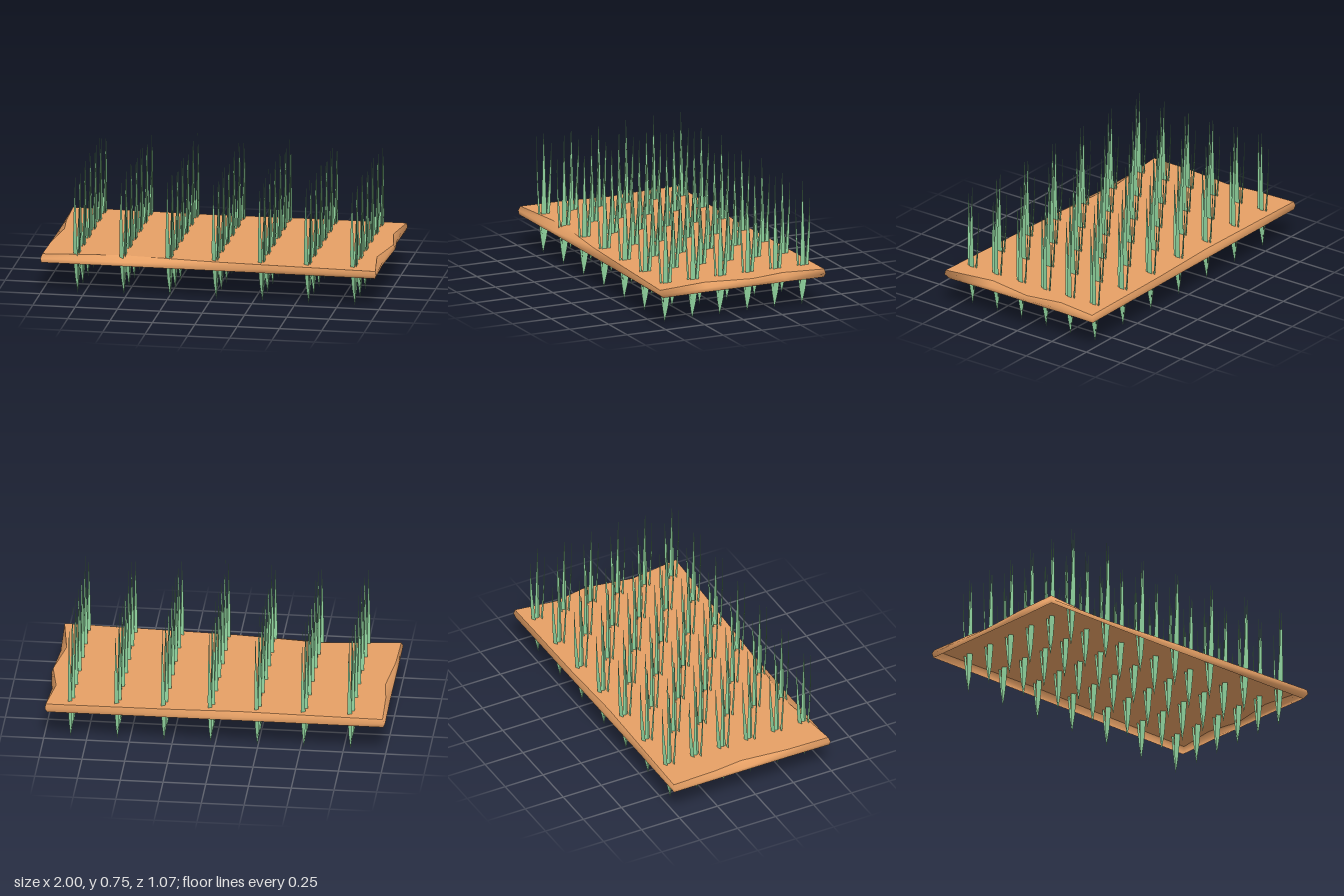
import * as THREE from 'three';

// Join equal-length rings, counterclockwise from above, from bottom to top.
// The lid has its own corners, so it stays flat beside smooth sides; the bottom is open.
function loft(rings) {
  const n = rings[0].length, pos = rings.flat(2), idx = [];
  for (let k = 0; k < rings.length - 1; k++)
    for (let i = 0; i < n; i++) {
      const a = k * n + i, b = k * n + (i + 1) % n;
      idx.push(a, b, b + n, a, b + n, a + n);
    }
  const lid = rings[rings.length - 1], start = pos.length / 3;
  pos.push(...lid.flat(), ...[0, 1, 2].map(j => lid.reduce((s, p) => s + p[j], 0) / n));
  for (let i = 0; i < n; i++) idx.push(start + i, start + (i + 1) % n, start + n);
  const g = new THREE.BufferGeometry();
  g.setAttribute('position', new THREE.Float32BufferAttribute(pos, 3));
  g.setIndex(idx);
  g.computeVertexNormals();
  return g;
}

// Soil: a shallow shell, open below, with a bulging rim and a chipped top outline.
// Outlines start at the front-left corner.
function soilGeometry() {
  const top = [[-0.99, 0.485], [-0.52, 0.435], [-0.02, 0.485], [0.3, 0.5], [0.985, 0.53],
    [0.94, 0.22], [0.99, -0.06], [0.95, -0.28], [0.985, -0.53],
    [0.3, -0.525], [-0.15, -0.512], [-0.6, -0.522], [-0.985, -0.53],
    [-0.975, -0.25], [-0.955, -0.07], [-0.985, 0.22]];
  const middle = [[-1, 0.495], [-0.52, 0.497], [-0.02, 0.499], [0.3, 0.503], [0.988, 0.537],
    [0.975, 0.22], [1, -0.06], [0.975, -0.28], [0.99, -0.537],
    [0.3, -0.533], [-0.15, -0.533], [-0.6, -0.533], [-1, -0.533],
    [-0.998, -0.25], [-0.998, -0.07], [-1, 0.22]];
  const bottom = [[-0.995, 0.492], [-0.52, 0.492], [-0.02, 0.494], [0.3, 0.497], [0.978, 0.505],
    [0.972, 0.22], [0.975, -0.06], [0.972, -0.28], [0.978, -0.53],
    [0.3, -0.528], [-0.15, -0.528], [-0.6, -0.528], [-0.99, -0.53],
    [-0.99, -0.25], [-0.99, -0.07], [-0.99, 0.22]];
  const ring = (pts, y) => pts.map(([x, z]) => [x, y, z]);
  return loft([ring(bottom, 0.187), ring(middle, 0.211), ring(top, 0.238)]);
}

// Leaf: a three-sided section with its flat face outward, swept up a bent line
const STEPS = [0, 0.14, 0.3, 0.45, 0.62, 0.8, 1];
const WIDTHS = [0.02, 0.7, 1, 0.92, 0.65, 0.36, 0.03];

function leafGeometry({ height, bend, tip, facing, wide, thick }) {
  const path = new THREE.QuadraticBezierCurve3(
    new THREE.Vector3(0, 0, 0),
    new THREE.Vector3(bend[0], height * 0.5, bend[1]),
    new THREE.Vector3(tip[0], height, tip[1]));
  const s = Math.sin(facing), c = Math.cos(facing);
  return loft(STEPS.map((t, k) => {
    const p = path.getPoint(t), w = WIDTHS[k] * wide, d = WIDTHS[k] * thick;
    return [[-w, d / 2], [w, d / 2], [0, -d / 2]].map(([x, z]) =>
      [p.x + x * c + z * s, p.y, p.z - x * s + z * c]);
  }));
}

export function createModel() {
  const model = new THREE.Group();
  model.name = 'cropField';

  const soil = new THREE.Mesh(soilGeometry(),
    new THREE.MeshStandardMaterial({ color: 0xe6a065, side: THREE.DoubleSide }));
  soil.name = 'soil';
  model.add(soil);

  // The same three leaves, facing outward a third of a turn apart, make every plant
  const green = new THREE.MeshStandardMaterial({ color: 0x90d49e, flatShading: true });
  const leaves = {
    sideLeaf: leafGeometry({ height: 0.745, bend: [0.014, 0], tip: [0.006, 0],
      facing: Math.PI / 2, wide: 0.016, thick: 0.009 }),
    frontLeaf: leafGeometry({ height: 0.705, bend: [-0.014, 0.036], tip: [-0.008, 0.037],
      facing: -Math.PI / 6, wide: 0.016, thick: 0.011 }),
    backLeaf: leafGeometry({ height: 0.66, bend: [0.004, -0.043], tip: [0.006, -0.05],
      facing: -Math.PI * 5 / 6, wide: 0.014, thick: 0.009 }),
  };

  // Seven columns by six rows
  for (let col = 0; col < 7; col++)
    for (let row = 0; row < 6; row++) {
      const plant = new THREE.Group();
      plant.name = 'plant';
      plant.position.set(-0.789 + col * 0.2727, 0, 0.435 - row * 0.177);
      for (const [name, geometry] of Object.entries(leaves)) {
        const leaf = new THREE.Mesh(geometry, green);
        leaf.name = name;
        plant.add(leaf);
      }
      model.add(plant);
    }
  return model;
}
